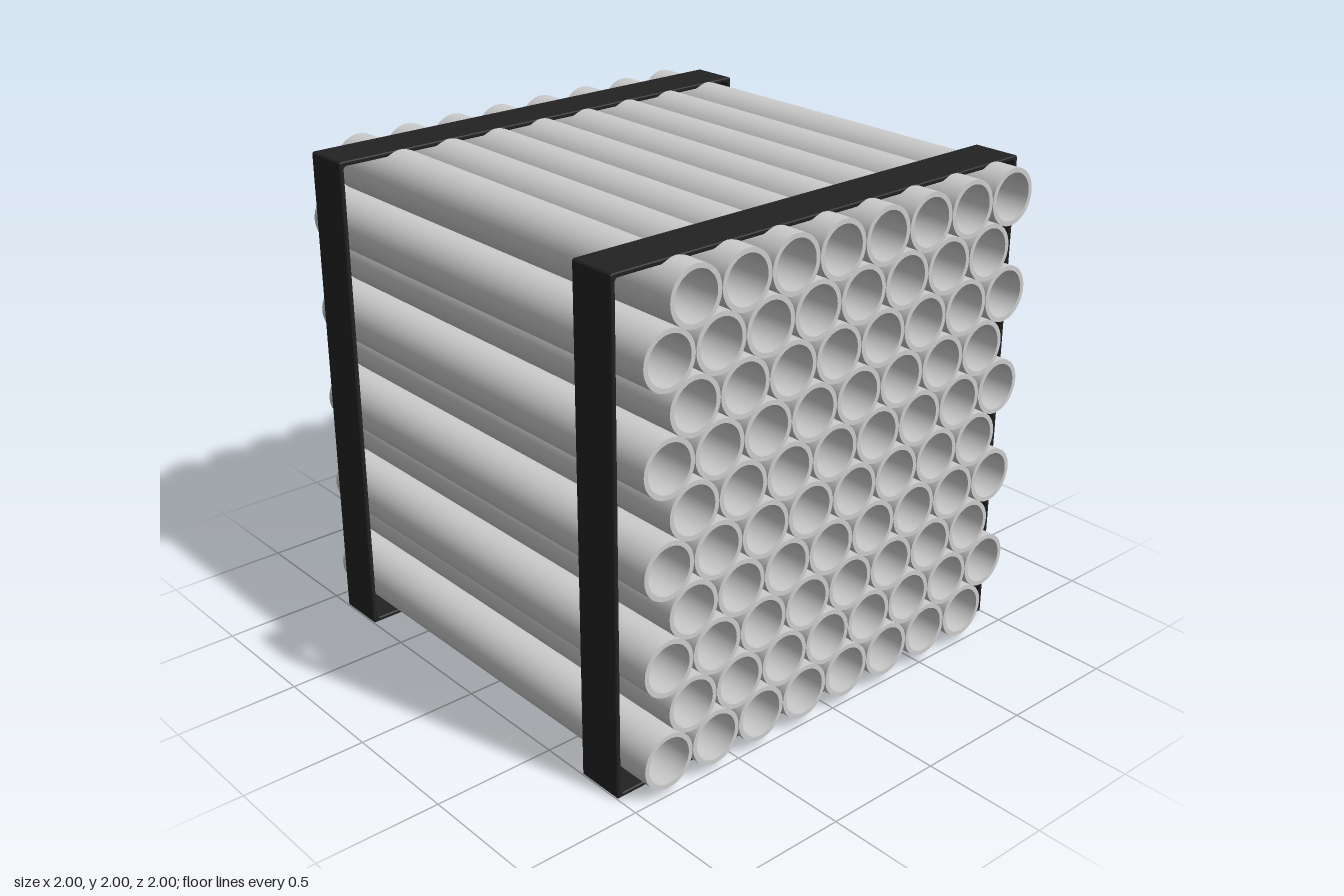
import * as THREE from 'three';
import { mergeGeometries } from 'three/addons/utils/BufferGeometryUtils.js';

const ROWS = 10, PER_ROW = 8;
const OUTER = 0.1125, INNER = 0.094, HALF = 1;

// Hollow pipe along x: each wall is its own lathe so the rims stay sharp
function pipeGeometry() {
  const loop = [[OUTER, -HALF], [OUTER, HALF], [INNER, HALF], [INNER, -HALF]];
  const walls = loop.map((a, i) => {
    const b = loop[(i + 1) % loop.length];
    return new THREE.LatheGeometry([new THREE.Vector2(...a), new THREE.Vector2(...b)], 40);
  });
  return mergeGeometries(walls).rotateZ(-Math.PI / 2);
}

// Square outline of a given half size, with small corner cuts
function square(path, h, c) {
  path.moveTo(-h + c, -h);
  path.lineTo(h - c, -h);
  path.lineTo(h, -h + c);
  path.lineTo(h, h - c);
  path.lineTo(h - c, h);
  path.lineTo(-h + c, h);
  path.lineTo(-h, h - c);
  path.lineTo(-h, -h + c);
  path.closePath();
  return path;
}

// Thin square band, 0.2 wide, wrapped round the stack
function strapGeometry() {
  const bevel = 0.004, width = 0.2;
  const shape = square(new THREE.Shape(), 1 - bevel, 0.004);
  shape.holes.push(square(new THREE.Path(), 0.982 + bevel, 0.012));
  const geometry = new THREE.ExtrudeGeometry(shape, {
    depth: width - 2 * bevel, bevelEnabled: true,
    bevelSize: bevel, bevelThickness: bevel, bevelSegments: 1,
  });
  return geometry.translate(0, 0, -width / 2 + bevel).rotateY(Math.PI / 2);
}

export function createModel() {
  const model = new THREE.Group();
  model.name = 'pipeBundle';

  const pipeGrey = new THREE.MeshStandardMaterial({ color: 0xcccccc });
  pipeGrey.name = 'pipeGrey';
  const strapBlack = new THREE.MeshStandardMaterial({ color: 0x222222 });
  strapBlack.name = 'strapBlack';

  // Staggered rows of pipes
  const pipes = new THREE.Group();
  pipes.name = 'pipes';
  const pipeShape = pipeGeometry();
  for (let row = 0; row < ROWS; row++) {
    const start = row % 2 ? 0.7285 : 0.842;
    for (let i = 0; i < PER_ROW; i++) {
      const pipe = new THREE.Mesh(pipeShape, pipeGrey);
      pipe.name = 'pipe';
      pipe.position.set(0, 0.146 + row * 0.1935, start - i * 0.2267);
      pipes.add(pipe);
    }
  }
  model.add(pipes);

  // Straps near both ends
  const strapShape = strapGeometry();
  for (const side of [-1, 1]) {
    const strap = new THREE.Mesh(strapShape, strapBlack);
    strap.name = side > 0 ? 'leftStrap' : 'rightStrap';
    strap.position.set(side * 0.8, 1, 0);
    model.add(strap);
  }
  return model;
}
